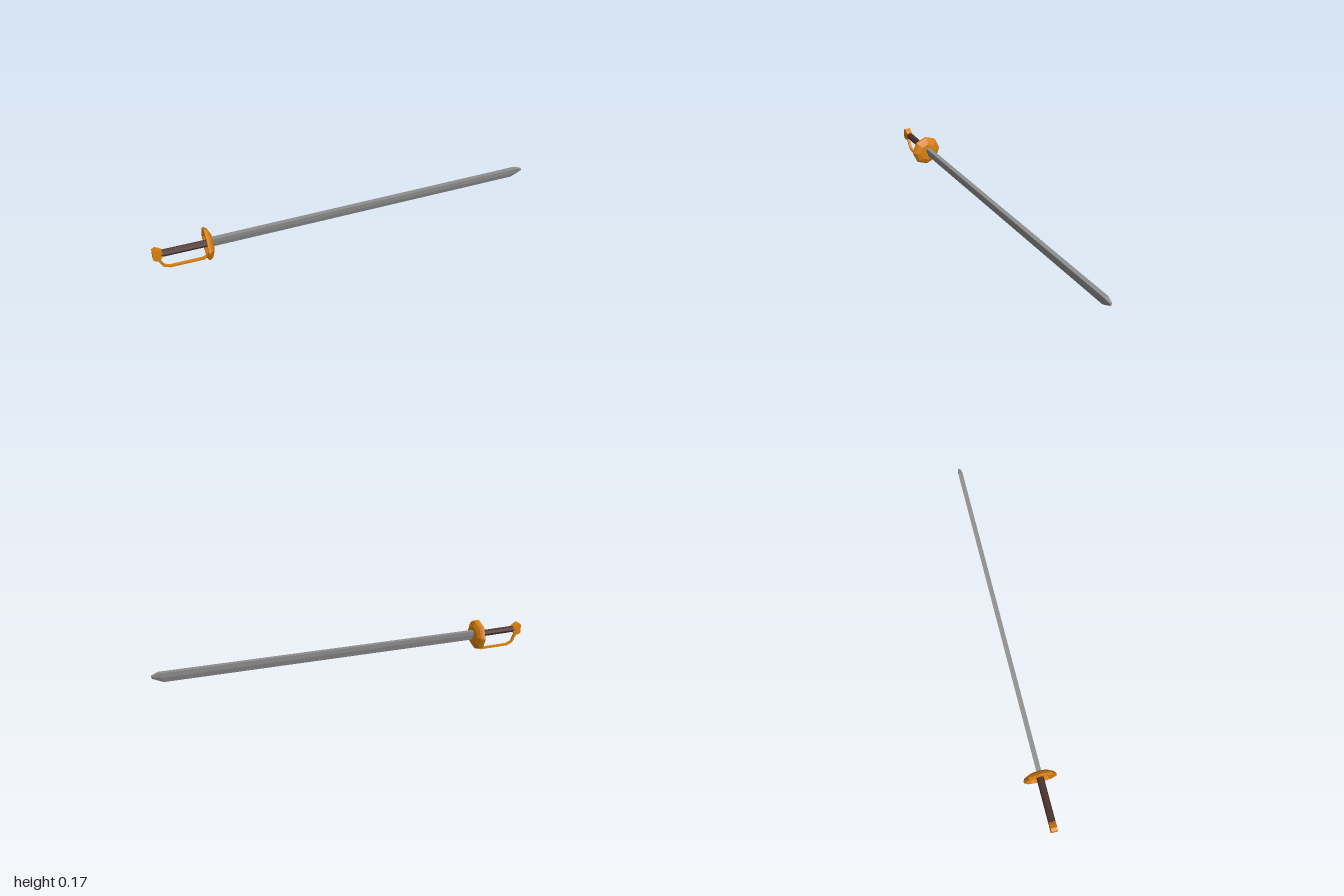
import * as THREE from 'three';

const mat = (name, color) => {
  const m = new THREE.MeshStandardMaterial({ color, flatShading: true });
  m.name = name;
  return m;
};

// Extrude a front outline evenly about z = 0
function plate(points, depth) {
  const shape = new THREE.Shape(points.map(p => new THREE.Vector2(...p)));
  const g = new THREE.ExtrudeGeometry(shape, { depth, bevelEnabled: false });
  return g.translate(0, 0, -depth / 2);
}

// Join matching closed cross-sections, given as [x, y, z] corners, and cap both ends
function loft(sections) {
  const n = sections[0].length, index = [];
  for (let s = 0; s < sections.length - 1; s++) {
    for (let i = 0; i < n; i++) {
      const a = s * n + i, b = s * n + (i + 1) % n;
      index.push(a, b, a + n, b, b + n, a + n);
    }
  }
  const last = (sections.length - 1) * n;
  for (let i = 1; i < n - 1; i++) {
    index.push(0, i + 1, i, last, last + i, last + i + 1);
  }
  const g = new THREE.BufferGeometry();
  g.setAttribute('position', new THREE.Float32BufferAttribute(sections.flat(2), 3));
  g.setIndex(index);
  g.computeVertexNormals();
  return g;
}

// Blade section: flat spine, slightly tapered sides, sharp lower edge
const bladeSection = (top, mid, edge, zTop, zMid) => [
  [top[0], top[1], zTop], [top[0], top[1], -zTop],
  [mid[0], mid[1], -zMid], [edge[0], edge[1], 0], [mid[0], mid[1], zMid],
].reverse();

export function createModel() {
  const steel = mat('steel', 0x8e8e8e);
  const brass = mat('brass', 0xd9800f);
  const leather = mat('dark leather', 0x4a302b);
  const group = new THREE.Group();
  group.name = 'sword';
  const add = (name, geometry, material) => {
    const mesh = new THREE.Mesh(geometry, material);
    mesh.name = name;
    group.add(mesh);
  };

  // Blade, rising gently to a blunt tip
  add('blade', loft([
    bladeSection([-0.725, 0.115], [-0.725, 0.093], [-0.725, 0.064], 0.012, 0.009),
    bladeSection([0.965, 0.134], [0.955, 0.108], [0.945, 0.082], 0.012, 0.009),
    bladeSection([1, 0.123], [1, 0.116], [1, 0.109], 0.006, 0.005),
  ]), steel);

  // Eight-sided cup guard, hollow towards the hand
  const cup = [
    [0, -0.722], [0.045, -0.722], [0.07, -0.744], [0.082, -0.744],
    [0.082, -0.733], [0.073, -0.721], [0.048, -0.71], [0, -0.71],
  ].map(p => new THREE.Vector2(...p));
  add('guard', new THREE.LatheGeometry(cup, 8).rotateZ(-Math.PI / 2).translate(0, 0.09, 0), brass);

  // Grip
  add('grip', new THREE.CylinderGeometry(0.018, 0.018, 0.245, 8)
    .rotateZ(Math.PI / 2).translate(-0.8375, 0.092, 0), leather);

  // Flat-sided pommel
  add('pommel', plate([
    [-1, 0.07], [-0.985, 0.06], [-0.967, 0.066], [-0.953, 0.079],
    [-0.953, 0.107], [-0.967, 0.117], [-0.985, 0.127], [-1, 0.116],
  ], 0.032), brass);

  // Knuckle bow from pommel to guard rim
  add('knuckleBow', plate([
    [-0.983, 0.064], [-0.958, 0.016], [-0.925, 0.002], [-0.76, 0.002], [-0.733, 0.012], [-0.733, 0.026],
    [-0.742, 0.021], [-0.762, 0.011], [-0.923, 0.011], [-0.951, 0.022], [-0.972, 0.066],
  ], 0.015), brass);

  return group;
}
